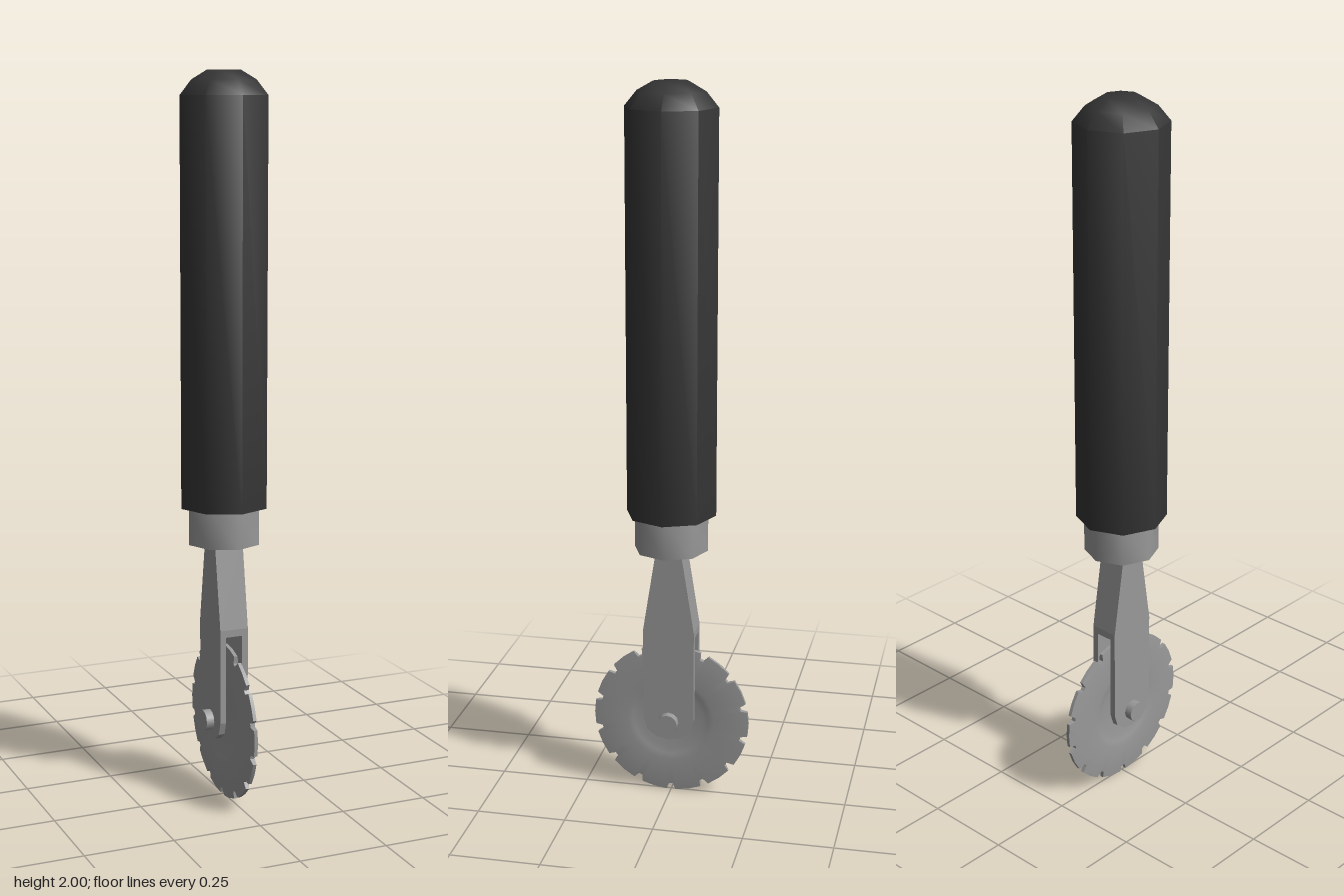
import * as THREE from 'three';
import { toCreasedNormals } from 'three/addons/utils/BufferGeometryUtils.js';

const SIDES = 8;
const AXLE_Y = 0.226;
const WHEEL_Y = 0.222;

// Octagonal turned part from [radius, height] pairs, bottom to top
function turned(points, crease) {
  const g = new THREE.LatheGeometry(points.map(([r, y]) => new THREE.Vector2(r, y)), SIDES);
  return toCreasedNormals(g, crease);
}

// Plate drawn in (z, y), extruded along x from x0 to x1
function plate(points, x0, x1) {
  const shape = new THREE.Shape(points.map(([z, y]) => new THREE.Vector2(z, y)));
  const g = new THREE.ExtrudeGeometry(shape, { depth: x1 - x0, bevelEnabled: false });
  g.rotateY(Math.PI / 2);
  g.translate(x0, 0, 0);
  return g;
}

// Outline symmetric about z = 0, from its +z half listed bottom to top
function mirrored(half) {
  return [...half, ...half.slice().reverse().filter(([z]) => z > 0).map(([z, y]) => [-z, y])];
}

// Thin dished disc with a notched rim, axis along x
function wheelGeometry() {
  const teeth = 14, R = 0.222, floor = 0.203;
  const step = (Math.PI * 2) / teeth;
  const outline = [];
  for (let i = 0; i < teeth; i++) {
    for (const [f, r] of [[-0.37, R], [0, R], [0.37, R], [0.44, floor], [0.56, floor]]) {
      outline.push([(i + f) * step, r]);
    }
  }
  // Rings inward from the rim: [radius, half thickness]
  const inner = [[0.125, 0.0145], [0.108, 0.011], [0.09, 0.008], [0, 0.008]];
  const pos = [];
  const point = (a, r, x) => [x, Math.sin(a) * r, Math.cos(a) * r];
  const quad = (a, b, c, d) => pos.push(...a, ...b, ...c, ...a, ...c, ...d);
  const n = outline.length;
  for (let i = 0; i < n; i++) {
    const [a, ra] = outline[i];
    const b = outline[(i + 1) % n][0], rb = outline[(i + 1) % n][1];
    const rimX = (r) => 0.005 + (R - r) * 0.098;
    // Rim strip
    quad(point(a, ra, -rimX(ra)), point(a, ra, rimX(ra)), point(b, rb, rimX(rb)), point(b, rb, -rimX(rb)));
    // Both faces
    let pa = [ra, rimX(ra)], pb = [rb, rimX(rb)];
    for (const ring of inner) {
      const o = [point(a, ...pa), point(b, ...pb), point(b, ...ring), point(a, ...ring)];
      quad(o[3], o[2], o[1], o[0]);
      const m = o.map(([x, y, z]) => [-x, y, z]);
      quad(m[0], m[1], m[2], m[3]);
      pa = pb = ring;
    }
  }
  const g = new THREE.BufferGeometry();
  g.setAttribute('position', new THREE.Float32BufferAttribute(pos, 3));
  // Angle and radius run so that both faces and the rim point outward
  const p = g.attributes.position;
  const v = [0, 1, 2].map((i) => new THREE.Vector3().fromBufferAttribute(p, i));
  const normal = v[1].clone().sub(v[0]).cross(v[2].clone().sub(v[0]));
  if (normal.dot(new THREE.Vector3(0, v[0].y, v[0].z)) < 0) {
    for (let i = 0; i < p.count; i += 3) {
      const t = new THREE.Vector3().fromBufferAttribute(p, i + 1);
      p.setXYZ(i + 1, p.getX(i + 2), p.getY(i + 2), p.getZ(i + 2));
      p.setXYZ(i + 2, t.x, t.y, t.z);
    }
  }
  return toCreasedNormals(g, 0.5);
}

export function createModel() {
  const group = new THREE.Group();
  const grip = new THREE.MeshStandardMaterial({ color: 0x343434, side: THREE.DoubleSide });
  grip.name = 'blackGrip';
  const steel = new THREE.MeshStandardMaterial({ color: 0x999999, side: THREE.DoubleSide });
  steel.name = 'greySteel';
  const add = (name, geometry, material) => {
    const mesh = new THREE.Mesh(geometry, material);
    mesh.name = name;
    group.add(mesh);
    return mesh;
  };

  // Handle with a domed end
  add('handle', turned([[0, 0.835], [0.125, 0.835], [0.125, 1.935], [0.092, 1.975], [0.048, 2], [0, 2]], 0.9), grip);

  // Collar below the handle
  add('collar', turned([[0, 0.732], [0.103, 0.732], [0.103, 0.84], [0, 0.84]], 0.9), steel);

  // Fork: solid neck and two round-ended tines
  add('forkNeck', plate(mirrored([[0.072, 0.48], [0.072, 0.5], [0.035, 0.735]]), -0.041, 0.041), steel);
  const tine = mirrored([[0, 0.172], [0.035, 0.18], [0.061, 0.2], [0.072, 0.235], [0.072, 0.48]]);
  add('leftTine', plate(tine, 0.024, 0.041), steel);
  add('rightTine', plate(tine, -0.041, -0.024), steel);

  // Axle pin through fork and wheel
  const pin = new THREE.CylinderGeometry(0.029, 0.029, 0.126, 12);
  pin.rotateZ(Math.PI / 2);
  add('axlePin', pin, steel).position.y = AXLE_Y;

  // Notched cutting wheel
  add('wheel', wheelGeometry(), steel).position.y = WHEEL_Y;

  return group;
}
